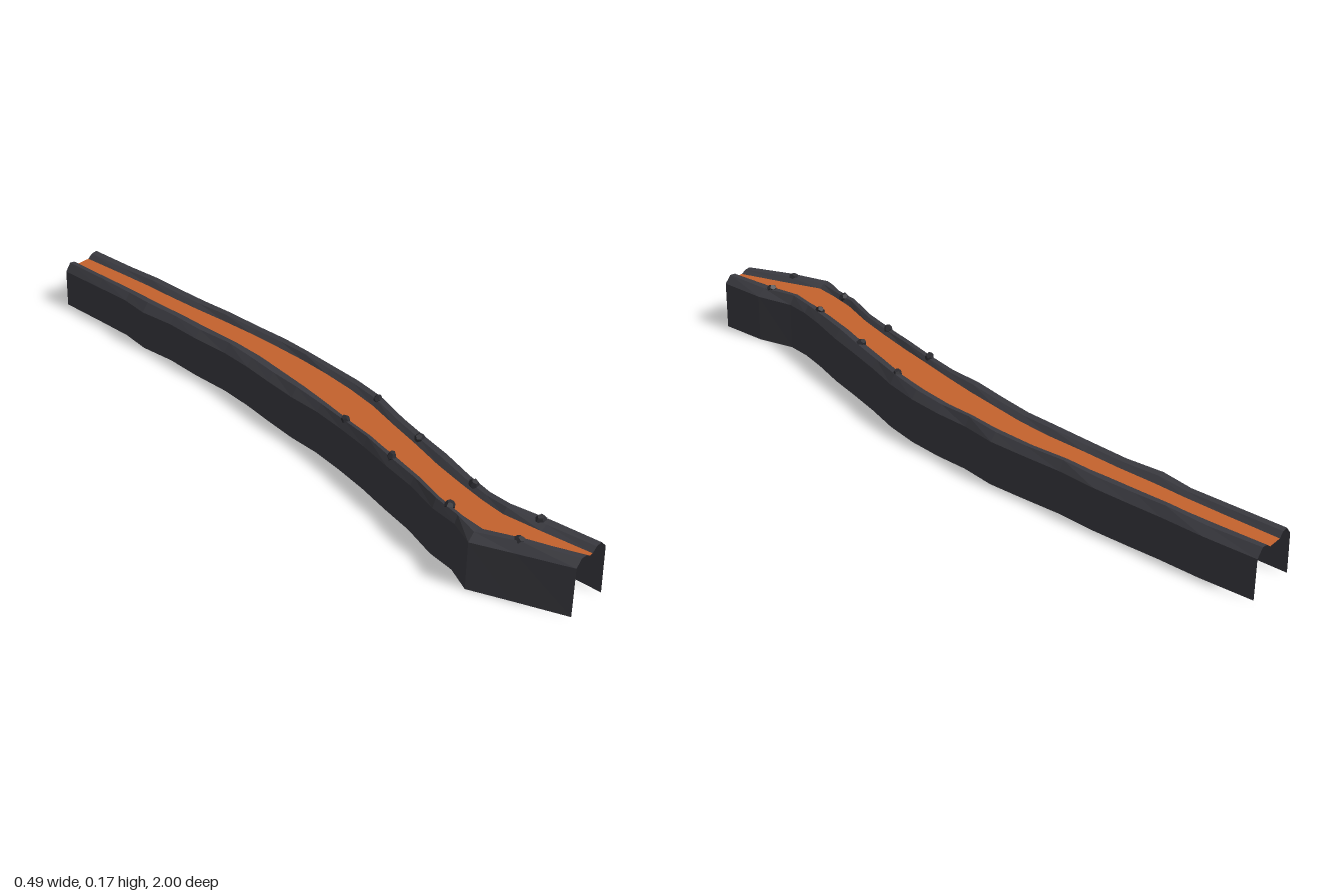
import * as THREE from 'three';

const stone = new THREE.MeshStandardMaterial({ name: 'dark basalt', color: 0x3a3a40, flatShading: true, side: THREE.DoubleSide });
const boulderStone = new THREE.MeshStandardMaterial({ name: 'boulder stone', color: 0x2c2c31, flatShading: true });
const molten = new THREE.MeshStandardMaterial({ name: 'molten orange', color: 0xc4622d, flatShading: true, side: THREE.DoubleSide });

// Stations along the flow: z, right outer x, molten edges x, left outer x
const stations = [
  [-1, 0.090, 0.140, 0.183, 0.240],
  [-0.85, 0.083, 0.133, 0.180, 0.238],
  [-0.73, 0.076, 0.126, 0.176, 0.230],
  [-0.64, 0.057, 0.118, 0.170, 0.227],
  [-0.53, 0.058, 0.112, 0.165, 0.222],
  [-0.42, 0.045, 0.102, 0.163, 0.210],
  [-0.30, 0.038, 0.094, 0.158, 0.207],
  [-0.20, 0.022, 0.080, 0.150, 0.203],
  [-0.10, 0.000, 0.058, 0.140, 0.182],
  [0, -0.020, 0.036, 0.125, 0.174],
  [0.10, -0.032, 0.010, 0.105, 0.158],
  [0.20, -0.055, -0.018, 0.078, 0.130],
  [0.30, -0.082, -0.045, 0.040, 0.090],
  [0.40, -0.115, -0.075, 0.004, 0.055],
  [0.50, -0.145, -0.108, -0.035, 0.022],
  [0.60, -0.187, -0.150, -0.067, -0.018],
  [0.68, -0.205, -0.172, -0.090, -0.045],
  [0.75, -0.245, -0.186, -0.105, -0.058],
  [0.86, -0.210, -0.152, -0.104, -0.038],
  [1, -0.167, -0.112, -0.100, -0.042],
];

// The bed falls gently towards the back
const crestY = z => 0.146 + 0.014 * z;

// Skin a row of open cross-sections
function loft(sections) {
  const n = sections[0].length, index = [];
  for (let i = 0; i < sections.length - 1; i++)
    for (let j = 0; j < n - 1; j++) {
      const a = i * n + j, b = a + 1, c = a + n, d = c + 1;
      index.push(a, c, b, b, c, d);
    }
  const g = new THREE.BufferGeometry();
  g.setAttribute('position', new THREE.Float32BufferAttribute(sections.flat(2), 3));
  g.setIndex(index);
  g.computeVertexNormals();
  return g;
}

// One bank: wall foot, shoulder, crest, inner lip
function bankSection(z, outer, inner, i) {
  const w = inner - outer, y = crestY(z), bump = 0.0025 * Math.sin(i * 2.3 + outer * 9);
  return [
    [outer, 0, z],
    [outer + w * 0.04, y - 0.021, z],
    [outer + w * 0.40, y + bump, z],
    [outer + w * 0.72, y - 0.002 + bump, z],
    [inner, y - 0.013, z],
  ];
}

export function createModel() {
  const group = new THREE.Group();
  const add = (name, geometry, material) => {
    const mesh = new THREE.Mesh(geometry, material);
    mesh.name = name;
    group.add(mesh);
    return mesh;
  };

  // Banks, open underneath and at both ends
  add('rightBank', loft(stations.map(([z, o, l], i) => bankSection(z, o, l, i))), stone);
  add('leftBank', loft(stations.map(([z, , , r, o], i) => bankSection(z, o, r, i + 3).reverse())), stone);

  // Molten ribbon between the banks
  add('moltenSurface', loft(stations.map(([z, , l, r]) => [[l, crestY(z) - 0.013, z], [r, crestY(z) - 0.013, z]])), molten);

  // Boulders resting on the crests: x, z
  const boulders = [
    [-0.18, 0.85], [-0.17, 0.64], [-0.093, 0.40], [-0.034, 0.20],
    [-0.078, 0.84], [-0.060, 0.63], [0.020, 0.40], [0.098, 0.20],
  ];
  boulders.forEach(([x, z], i) => {
    const rock = add('boulder', new THREE.DodecahedronGeometry(0.014), boulderStone);
    rock.position.set(x, crestY(z) - 0.002, z);
    rock.rotation.set(i * 0.7, i * 1.3, i * 0.4);
    rock.scale.set(1, 0.85, 1.1);
  });
  return group;
}
